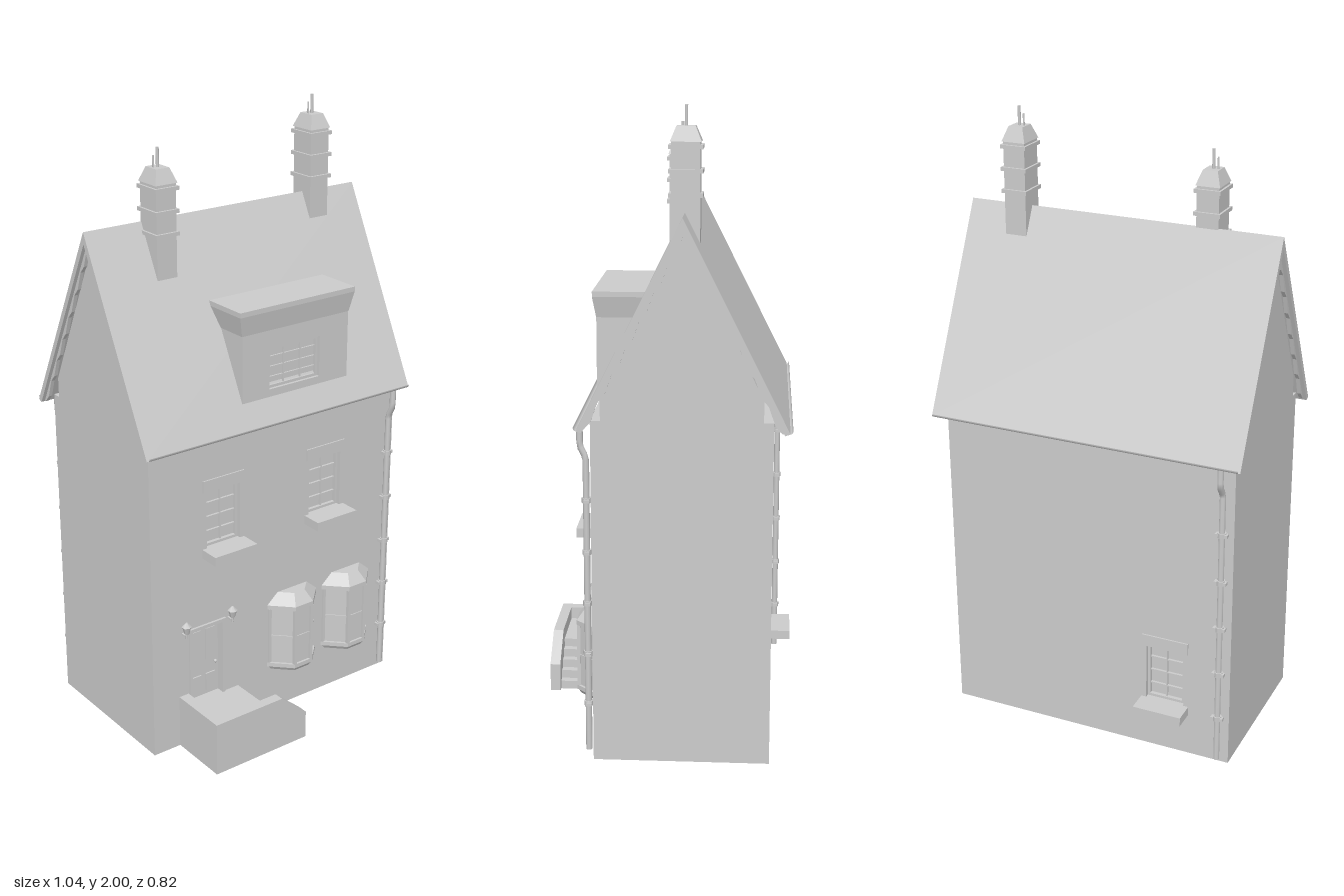
import * as THREE from 'three';

const mat = new THREE.MeshStandardMaterial({ color: 0xcccccc, side: THREE.DoubleSide });

function add(parent, name, geo, x = 0, y = 0, z = 0) {
  const m = new THREE.Mesh(geo, mat);
  m.name = name;
  m.position.set(x, y, z);
  parent.add(m);
  return m;
}

// Box given by its limits on each axis
function box(parent, name, x0, x1, y0, y1, z0, z1) {
  return add(parent, name, new THREE.BoxGeometry(x1 - x0, y1 - y0, z1 - z0),
    (x0 + x1) / 2, (y0 + y1) / 2, (z0 + z1) / 2);
}

function group(parent, name) {
  const g = new THREE.Group();
  g.name = name;
  parent.add(g);
  return g;
}

const polygon = pts => new THREE.Shape(pts.map(p => new THREE.Vector2(p[0], p[1])));
const extrude = (shape, depth) => new THREE.ExtrudeGeometry(shape, { depth, bevelEnabled: false });

// Side profile of (z, y) points swept along x
function sweepX(parent, name, pts, x0, x1) {
  return add(parent, name, extrude(polygon(pts), x1 - x0).rotateY(-Math.PI / 2), x1);
}

const rect = (x0, x1, y0, y1) => [[x0, y0], [x1, y0], [x1, y1], [x0, y1]];

// Flat wall with rectangular openings
function wall(parent, name, outline, openings, z, depth) {
  const s = polygon(outline);
  openings.forEach(o => s.holes.push(polygon(rect(...o))));
  return add(parent, name, extrude(s, depth), 0, 0, z);
}

// Frame and glazing bars inside an opening
function sash(parent, x0, x1, y0, y1, z, cols, rows) {
  const g = group(parent, 'sashFrame'), t = 0.009;
  box(g, 'frameSide', x0, x0 + t, y0, y1, z, z + 0.012);
  box(g, 'frameSide', x1 - t, x1, y0, y1, z, z + 0.012);
  box(g, 'frameRail', x0, x1, y0, y0 + t, z, z + 0.012);
  box(g, 'frameRail', x0, x1, y1 - t, y1, z, z + 0.012);
  for (let i = 1; i < cols; i++) {
    const x = x0 + (x1 - x0) * i / cols;
    box(g, 'glazingBar', x - 0.002, x + 0.002, y0, y1, z, z + 0.008);
  }
  for (let j = 1; j < rows; j++) {
    const y = y0 + (y1 - y0) * j / rows;
    box(g, 'glazingBar', x0, x1, y - 0.002, y + 0.002, z, z + 0.008);
  }
}

// Sash window with lintel and projecting sill
function sashWindow(parent, cx, y0, z) {
  const g = group(parent, 'sashWindow');
  sash(g, cx - 0.065, cx + 0.065, y0, y0 + 0.195, z - 0.025, 2, 4);
  box(g, 'lintel', cx - 0.079, cx + 0.079, y0 + 0.195, y0 + 0.235, z - 0.01, z + 0.005);
  box(g, 'sill', cx - 0.082, cx + 0.082, y0 - 0.03, y0, z - 0.02, z + 0.07);
}

// Three-sided bay slab, scaled from s0 at the bottom to s1 at the top
const bayPlan = [[-0.102, 0], [-0.036, -0.065], [0.036, -0.065], [0.102, 0]];
function baySlab(parent, name, y0, y1, s0, s1) {
  const geo = extrude(polygon(bayPlan), y1 - y0).rotateX(-Math.PI / 2);
  const p = geo.attributes.position;
  for (let i = 0; i < p.count; i++) {
    const s = THREE.MathUtils.lerp(s0, s1, p.getY(i) / (y1 - y0));
    p.setX(i, p.getX(i) * s);
    p.setZ(i, p.getZ(i) * s);
  }
  geo.computeVertexNormals();
  return add(parent, name, geo, 0, y0);
}

function bayWindow(parent, cx) {
  const g = group(parent, 'bayWindow');
  g.position.set(cx, 0, 0.205);
  baySlab(g, 'bayFoot', 0.153, 0.168, 0.85, 0.98);
  baySlab(g, 'baySill', 0.168, 0.182, 1.02, 1.02);
  baySlab(g, 'bayGlass', 0.182, 0.385, 0.9, 0.9);
  baySlab(g, 'bayRail', 0.28, 0.286, 0.95, 0.95);
  baySlab(g, 'bayHead', 0.385, 0.4, 1.02, 1.02);
  baySlab(g, 'bayRoof', 0.4, 0.437, 1.02, 0.6);
  bayPlan.forEach(p => add(g, 'bayPost', new THREE.BoxGeometry(0.011, 0.203, 0.011),
    p[0] * 0.93, 0.2835, -p[1] * 0.93));
}

// Stack with string courses, sloped cap and two pots
function chimney(parent, cx, cz, base, top) {
  const g = group(parent, 'chimney');
  g.position.set(cx, 0, cz);
  box(g, 'stack', -0.036, 0.036, base, top - 0.04, -0.043, 0.043);
  [0.06, 0.13, 0.2].forEach(d =>
    box(g, 'stringCourse', -0.043, 0.043, top - d - 0.006, top - d + 0.006, -0.051, 0.051));
  const cap = new THREE.CylinderGeometry(0.6, 1, 0.045, 4, 1).toNonIndexed();
  cap.rotateY(Math.PI / 4).scale(0.056, 1, 0.066).computeVertexNormals();
  add(g, 'cap', cap, 0, top - 0.0225);
  add(g, 'tallPot', new THREE.CylinderGeometry(0.005, 0.005, 0.07, 8), 0, top + 0.025);
  add(g, 'shortPot', new THREE.CylinderGeometry(0.003, 0.003, 0.05, 8), -0.015, top + 0.012);
}

// Downpipe with a swan neck at the gutter and clips
function downpipe(parent, x, z, gutterZ) {
  const g = group(parent, 'downpipe');
  const pts = [[0.02, z], [0.93, z], [0.965, z], [1.0, gutterZ], [1.03, gutterZ], [1.06, gutterZ]];
  const path = new THREE.CurvePath();
  const v = pts.map(p => new THREE.Vector3(x, p[0], p[1]));
  for (let i = 1; i < v.length; i++) path.add(new THREE.LineCurve3(v[i - 1], v[i]));
  add(g, 'pipe', new THREE.TubeGeometry(path, 48, 0.01, 8));
  for (let i = 0; i < 5; i++)
    add(g, 'pipeClip', new THREE.CylinderGeometry(0.014, 0.014, 0.016, 8), x, 0.175 + i * 0.164, z);
  [-1, 1].forEach(s => [0.175, 0.339, 0.503, 0.667, 0.831].forEach(y =>
    box(g, 'clipLug', x + s * 0.014 - 0.006, x + s * 0.014 + 0.006, y - 0.005, y + 0.005, z - 0.01, z + 0.006)));
}

function lantern(parent, x) {
  const g = group(parent, 'lantern');
  g.position.set(x, 0, 0.23);
  box(g, 'lampBracket', -0.003, 0.003, 0.408, 0.414, -0.03, 0.003);
  add(g, 'lampStem', new THREE.CylinderGeometry(0.004, 0.004, 0.02, 6), 0, 0.415);
  add(g, 'lampGlass', new THREE.CylinderGeometry(0.015, 0.008, 0.026, 6), 0, 0.436);
  add(g, 'lampCap', new THREE.CylinderGeometry(0.003, 0.017, 0.014, 6), 0, 0.455);
}

function door(parent) {
  const g = group(parent, 'frontDoor'), z = 0.182;
  box(g, 'doorLeaf', -0.34, -0.22, 0.14, 0.405, 0.17, z);
  box(g, 'jamb', -0.35, -0.34, 0.14, 0.415, 0.17, 0.21);
  box(g, 'jamb', -0.22, -0.21, 0.14, 0.415, 0.17, 0.21);
  box(g, 'doorHead', -0.352, -0.208, 0.405, 0.417, 0.17, 0.213);
  [-0.307, -0.253].forEach(x => {
    box(g, 'lowerPanel', x - 0.018, x + 0.018, 0.155, 0.217, z, z + 0.005);
    box(g, 'upperPanel', x - 0.018, x + 0.018, 0.27, 0.385, z, z + 0.005);
  });
  add(g, 'doorKnob', new THREE.SphereGeometry(0.006, 10, 8), -0.235, 0.255, z + 0.007);
}

export function createModel() {
  const house = new THREE.Group();
  house.name = 'house';

  // Core with gables, and outer walls with openings
  sweepX(house, 'gabledCore', [[-0.31, 0], [0.175, 0], [0.175, 1.15], [-0.07, 1.65], [-0.31, 1.15]], -0.49, 0.49);
  const outline = rect(-0.49, 0.49, 0, 1.085);
  wall(house, 'frontWall', outline, [
    [-0.35, -0.21, 0.14, 0.415], [-0.277, -0.147, 0.685, 0.88], [0.135, 0.265, 0.685, 0.88]], 0.175, 0.03);
  sashWindow(house, -0.212, 0.685, 0.205);
  sashWindow(house, 0.2, 0.685, 0.205);
  const back = group(house, 'backSide');
  back.rotation.y = Math.PI;
  wall(back, 'backWall', outline, [[0.203, 0.333, 0.175, 0.37]], 0.31, 0.03);
  sashWindow(back, 0.268, 0.175, 0.34);

  // Roof
  sweepX(house, 'roof', [[0.245, 1.06], [-0.07, 1.69], [-0.388, 1.06],
    [-0.372, 1.055], [-0.07, 1.652], [0.229, 1.055]], -0.52, 0.52);
  // Scalloped bargeboards under the roof ends
  [-1, 1].forEach(side => {
    const pts = [[0.235, 1.06], [-0.07, 1.67], [-0.378, 1.06]];
    for (let i = 0; i <= 28; i++) {
      const z = -0.365 + 0.587 * i / 28;
      pts.push([z, 1.638 - Math.abs(z + 0.07) * 1.97 - (i % 2 ? 0.018 : 0)]);
    }
    const x = side * 0.502;
    sweepX(house, 'bargeboard', pts, x - 0.006, x + 0.006);
  });
  // Gutters
  [0.241, -0.384].forEach(z => {
    const geo = new THREE.CylinderGeometry(0.012, 0.012, 1.03, 10, 1, true, 0, Math.PI);
    geo.rotateZ(Math.PI / 2).rotateX(Math.PI / 2);
    const p = geo.attributes.position;
    // keep the open side of the trough upward
    const mid = new THREE.Box3().setFromBufferAttribute(p).getCenter(new THREE.Vector3());
    if (Math.abs(mid.z) > 0.004) geo.rotateX(mid.z > 0 ? Math.PI / 2 : -Math.PI / 2);
    else if (mid.y > 0) geo.rotateX(Math.PI);
    add(house, 'gutter', geo, 0, 1.07, z);
  });
  downpipe(house, 0.457, 0.222, 0.24);
  downpipe(house, -0.457, -0.358, -0.382);

  // Dormer
  const dormer = group(house, 'dormer');
  sweepX(dormer, 'dormerBody', [[0.185, 1.13], [0.185, 1.38], [0.06, 1.38]], -0.138, 0.282);
  wall(dormer, 'dormerFront', rect(-0.138, 0.282, 1.13, 1.38), [[-0.033, 0.167, 1.165, 1.3]], 0.185, 0.02);
  sash(dormer, -0.033, 0.167, 1.165, 1.3, 0.183, 3, 4);
  const flare = new THREE.BoxGeometry(0.452, 0.065, 0.168).toNonIndexed();
  const fp = flare.attributes.position;
  for (let i = 0; i < fp.count; i++) if (fp.getY(i) < 0) {
    fp.setX(i, fp.getX(i) * 0.935);
    if (fp.getZ(i) > 0) fp.setZ(i, fp.getZ(i) - 0.011);
  }
  flare.computeVertexNormals();
  add(dormer, 'dormerCornice', flare, 0.072, 1.3925, 0.132);
  box(dormer, 'dormerTop', -0.154, 0.298, 1.425, 1.441, 0.048, 0.216);

  chimney(house, -0.279, -0.029, 1.5, 1.86);
  chimney(house, 0.345, -0.072, 1.59, 1.94);

  bayWindow(house, 0.07);
  bayWindow(house, 0.302);

  // Entrance with landing, steps and parapet
  door(house);
  lantern(house, -0.375);
  lantern(house, -0.195);
  const porch = group(house, 'entranceSteps');
  box(porch, 'landing', -0.36, -0.155, 0, 0.14, 0.2, 0.38);
  for (let i = 1; i < 5; i++)
    box(porch, 'step', -0.16, -0.155 + i * 0.027, 0, 0.14 - i * 0.028, 0.2, 0.38);
  box(porch, 'sideParapet', -0.39, -0.354, 0, 0.182, 0.2, 0.41);
  wall(porch, 'frontParapet', [[-0.39, 0], [-0.03, 0], [-0.03, 0.095], [-0.13, 0.182], [-0.39, 0.182]], [], 0.376, 0.034);
  return house;
}
